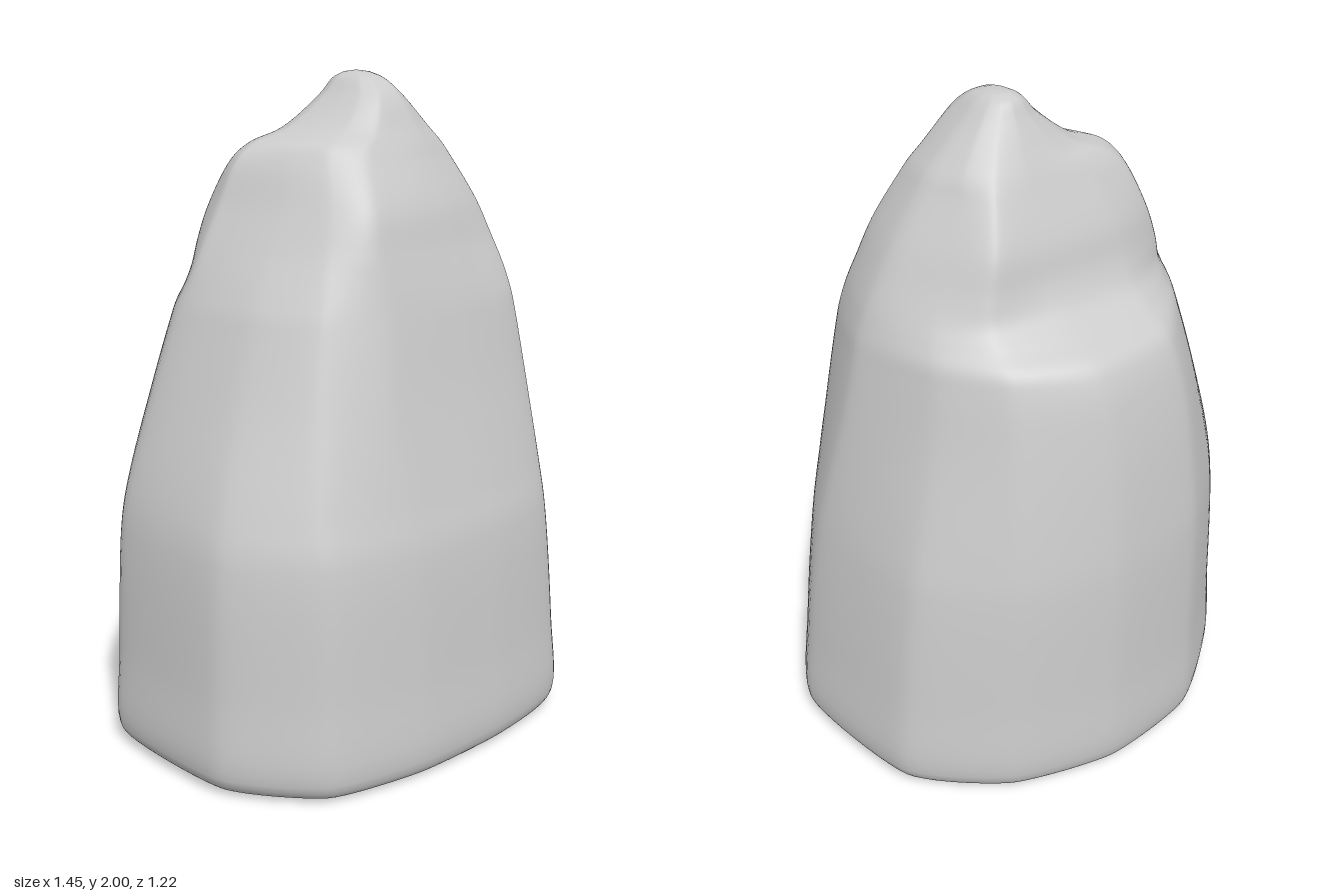
import * as THREE from 'three';

// Corner outlines as [x, z] fractions of the extents, from the back round by +x to the front
const FOOT = [[.14, -1], [.6, -.84], [.93, -.46], [1, .3], [.72, .79], [.31, .94],
  [-.17, 1], [-.61, .93], [-.92, .55], [-1, -.2], [-.72, -.61], [-.34, -.93]];
const SHELF = [[.15, -1], [.6, -.8], [.86, -.44], [1, .15], [.8, .74], [.34, .91],
  [-.28, 1], [-.63, .86], [-.87, .47], [-1, -.15], [-.75, -.57], [-.4, -.92]];
const CREST = [[.1, -1], [.58, -.97], [.79, -.56], [1, .1], [.85, .63], [.33, .86],
  [-.4, 1], [-.63, .81], [-.82, .42], [-1, -.13], [-.87, -.7], [-.48, -.96]];
const PEAK = [[.1, -1], [.55, -.85], [.88, -.5], [1, .1], [.8, .64], [.33, .92],
  [-.42, 1], [-.8, .8], [-.95, .42], [-1, -.05], [-.8, -.6], [-.4, -.93]];

// Extents of the rock by height: [y, left edge, right edge, back edge, front edge]
const LEVELS = [
  [0, -.64, .64, -.54, .54],
  [.015, -.69, .69, -.585, .585],
  [.06, -.72, .72, -.603, .606],
  [.3, -.712, .703, -.601, .599],
  [.68, -.693, .657, -.594, .578],
  [.82, -.67, .635, -.582, .55],
  [1.1, -.588, .582, -.544, .49],
  [1.28, -.53, .547, -.502, .452],
  [1.34, -.51, .535, -.468, .439],
  [1.39, -.491, .52, -.385, .428],
  [1.44, -.472, .502, -.318, .416],
  [1.51, -.443, .47, -.278, .398],
  [1.62, -.392, .415, -.247, .365],
  [1.75, -.332, .338, -.19, .29],
  [1.795, -.28, .31, -.17, .262],
  [1.835, -.165, .275, -.15, .235],
  [1.93, -.035, .187, -.1, .174],
  [1.978, .012, .142, -.072, .105],
  [1.995, .045, .112, -.04, .05],
];
const AROUND = 120, STEPS = 6;

// Smooth closed outline with softly rounded corners
const outline = pts => {
  const curve = new THREE.CatmullRomCurve3(
    pts.map(([x, z]) => new THREE.Vector3(x, 0, z)), true, 'catmullrom', .3);
  return Array.from({ length: AROUND }, (_, i) => curve.getPoint(i / AROUND));
};

// Fit a fractional point between the extents of a level
function place(p, [y, left, right, back, front]) {
  const cx = .08 * THREE.MathUtils.smoothstep(y, 1, 1.9);
  return new THREE.Vector3(
    cx + (p.x > 0 ? p.x * (right - cx) : p.x * (cx - left)), y,
    p.z > 0 ? p.z * front : -p.z * back);
}

function rockGeometry() {
  const [foot, shelf, crest, peak] = [FOOT, SHELF, CREST, PEAK].map(outline);
  const rows = (LEVELS.length - 1) * STEPS + 1;
  const position = [], index = [];

  // Vertical ribs, blending from the broad foot to the narrow peak
  for (let j = 0; j < AROUND; j++) {
    const rib = new THREE.CatmullRomCurve3(LEVELS.map(level => {
      const blend = (a, b) => THREE.MathUtils.smoothstep(level[0], a, b);
      const p = foot[j].clone().lerp(shelf[j], blend(.5, 1.3))
        .lerp(crest[j], blend(1.3, 1.6)).lerp(peak[j], blend(1.7, 1.93));
      return place(p, level);
    }), false, 'centripetal');
    for (let i = 0; i < rows; i++) position.push(...rib.getPoint(i / (rows - 1)).toArray());
  }
  const at = (i, j) => (j % AROUND) * rows + i;
  const base = AROUND * rows, tip = base + 1;
  position.push(0, 0, 0, .08, 2, 0);

  // Flank, flat underside and rounded tip
  for (let j = 0; j < AROUND; j++) {
    for (let i = 0; i < rows - 1; i++) {
      index.push(at(i, j), at(i + 1, j), at(i, j + 1));
      index.push(at(i, j + 1), at(i + 1, j), at(i + 1, j + 1));
    }
    index.push(base, at(0, j), at(0, j + 1));
    index.push(tip, at(rows - 1, j + 1), at(rows - 1, j));
  }
  const geometry = new THREE.BufferGeometry();
  geometry.setAttribute('position', new THREE.Float32BufferAttribute(position, 3));
  geometry.setIndex(index);
  geometry.computeVertexNormals();
  return geometry;
}

export function createModel() {
  const group = new THREE.Group();
  group.name = 'standingRock';
  const rock = new THREE.Mesh(rockGeometry(), new THREE.MeshStandardMaterial({ color: 0xcccccc }));
  rock.name = 'rock';
  group.add(rock);
  return group;
}
